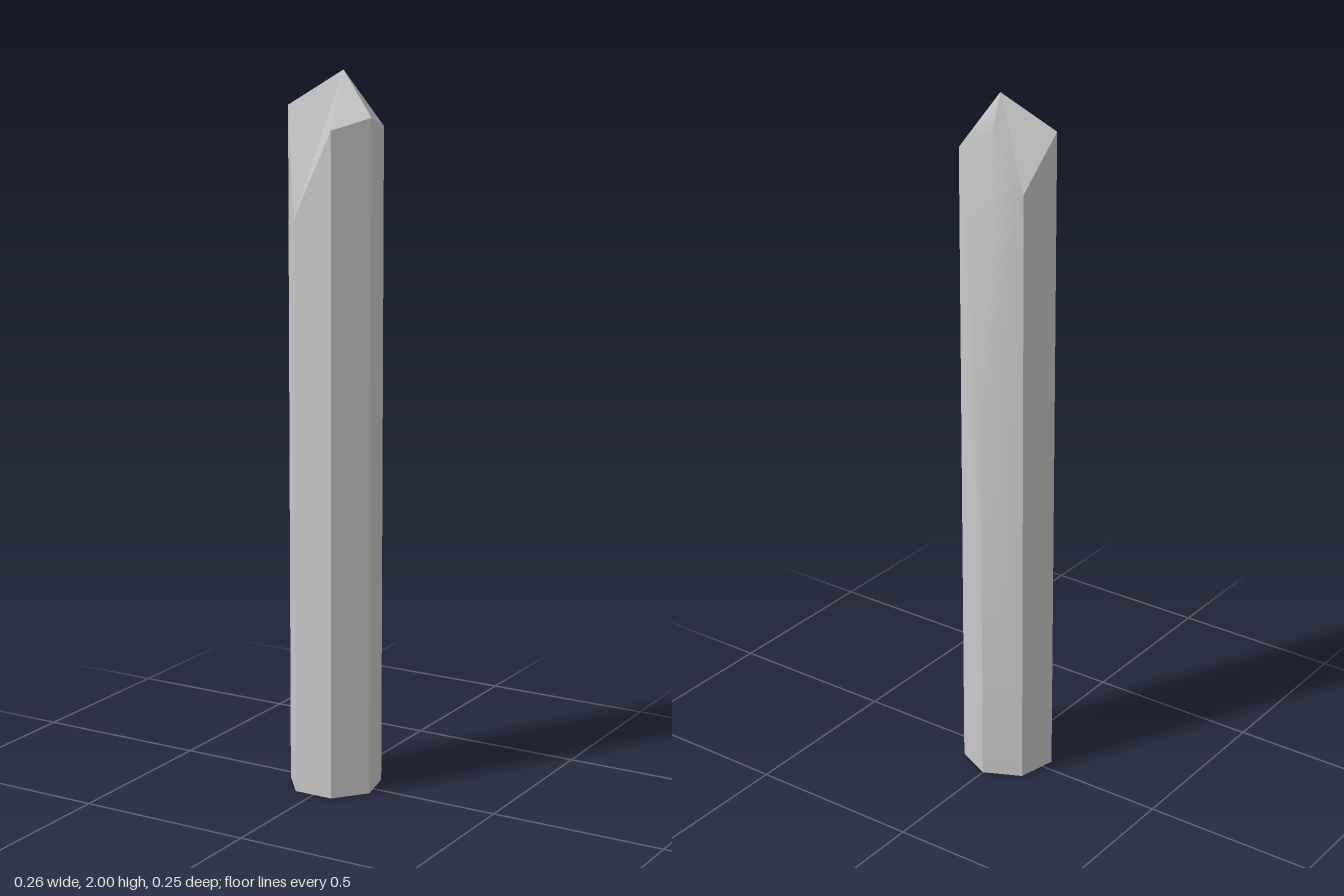
import * as THREE from 'three';

const RADIUS = 0.1325, CENTRE_Z = 0.0066, SIDES = 7;
// Height of each upright edge, starting at the back and turning towards +x
const HEIGHTS = [1.13, 1.85, 1.88, 1.85, 1.61, 1.905, 1.76];

const corner = (i, y) => {
  const a = -Math.PI / 2 + (i * 2 * Math.PI) / SIDES;
  return [RADIUS * Math.cos(a), y, CENTRE_Z + RADIUS * Math.sin(a)];
};

function meshFrom(name, points, index, material) {
  const geometry = new THREE.BufferGeometry();
  geometry.setAttribute('position', new THREE.Float32BufferAttribute(points.flat(), 3));
  if (index) geometry.setIndex(index);
  geometry.computeVertexNormals();
  const mesh = new THREE.Mesh(geometry, material);
  mesh.name = name;
  return mesh;
}

export function createModel() {
  const stone = new THREE.MeshStandardMaterial({ color: 0xc8c8c8 });
  stone.name = 'grey stone';

  const bottom = HEIGHTS.map((h, i) => corner(i, 0));
  const top = HEIGHTS.map((h, i) => corner(i, h));
  const apex = [0.01, 2, -0.021];
  const shoulder = [-0.005, 1.908, top[1][2]];

  // Flat uprights and the facets of the tip, from right back round to left back
  const sides = [], tip = [], base = [];
  for (let i = 1; i < SIDES - 1; i++) {
    sides.push(bottom[i], top[i], top[i + 1], bottom[i], top[i + 1], bottom[i + 1]);
    tip.push(top[i], apex, top[i + 1]);
    base.push(bottom[0], bottom[i], bottom[i + 1]);
  }
  tip.push(top[6], apex, shoulder);

  // Back faces blend softly into the bevel above; the back edge stays sharp at its foot
  const backPoints = [
    bottom[6], bottom[0], bottom[0], bottom[1], // 0-3 feet, back corner split
    top[6], top[0], top[1], shoulder, apex,     // 4-8 shared upper corners
  ];
  const backIndex = [
    0, 4, 5, 0, 5, 1, // left back upright
    2, 5, 6, 2, 6, 3, // right back upright
    4, 7, 5, 5, 7, 6, // long bevel
    7, 8, 6,          // back facet of the tip
  ];

  const model = new THREE.Group();
  model.name = 'crystalShard';
  model.add(
    meshFrom('shaftSides', sides, null, stone),
    meshFrom('tipFacets', tip, null, stone),
    meshFrom('base', base, null, stone),
    meshFrom('bevelledBack', backPoints, backIndex, stone),
  );
  return model;
}
